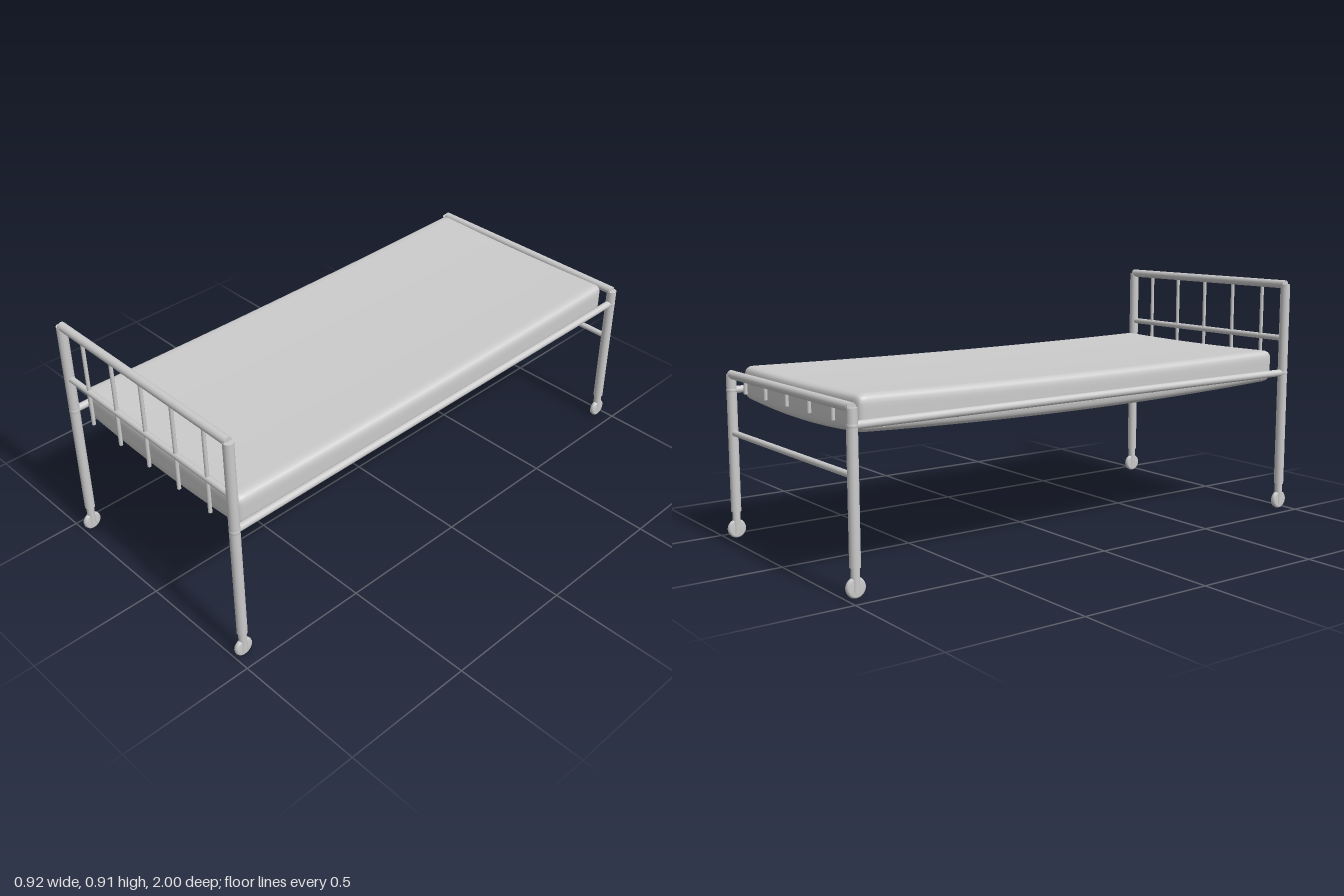
import * as THREE from 'three';
import { mergeVertices } from 'three/addons/utils/BufferGeometryUtils.js';

const material = new THREE.MeshStandardMaterial({ color: 0xcccccc });
const X = 0.44, Z = 0.965, RAIL_Y = 0.548;

function add(parent, name, geometry, x = 0, y = 0, z = 0) {
  const mesh = new THREE.Mesh(geometry, material);
  mesh.name = name;
  mesh.position.set(x, y, z);
  parent.add(mesh);
  return mesh;
}

// Round tube running along one axis, centred at the given point
function tube(parent, name, axis, radius, length, x, y, z, sides = 24) {
  const g = new THREE.CylinderGeometry(radius, radius, length, sides);
  if (axis === 'x') g.rotateZ(Math.PI / 2);
  if (axis === 'z') g.rotateX(Math.PI / 2);
  return add(parent, name, g, x, y, z);
}

// Leg post with side rail joint and caster
function leg(parent, x, z, top) {
  const g = new THREE.Group();
  g.name = 'leg';
  g.position.set(x, 0, z);
  parent.add(g);
  tube(g, 'post', 'y', 0.0185, top - 0.1, 0, (top + 0.1) / 2, 0);
  add(g, 'joint', new THREE.SphereGeometry(0.0195, 20, 14), 0, RAIL_Y, 0);
  tube(g, 'casterStem', 'y', 0.0145, 0.09, 0, 0.065, 0);
  const profile = [[0, -0.01], [0.028, -0.01], [0.033, -0.007], [0.035, 0], [0.033, 0.007], [0.028, 0.01], [0, 0.01]];
  const wheel = new THREE.LatheGeometry(profile.map(p => new THREE.Vector2(...p)), 28);
  wheel.rotateZ(Math.PI / 2);
  add(g, 'casterWheel', wheel, 0, 0.035, 0);
}

// End frame: two legs, top rail and five spindles
function endFrame(name, z, top) {
  const g = new THREE.Group();
  g.name = name;
  for (const s of [-1, 1]) leg(g, s * X, z, top);
  tube(g, 'topRail', 'x', 0.016, 2 * X, 0, top, z);
  for (let i = -2; i <= 2; i++) {
    tube(g, 'spindle', 'y', 0.007, top - RAIL_Y, i * 0.16, (top + RAIL_Y) / 2, z, 14);
  }
  return g;
}

// Rounded box that sags towards the middle, more below than above
function mattressGeometry() {
  const half = [0.42, 0.06, 0.93], r = 0.028;
  let g = new THREE.BoxGeometry(2, 2, 2, 28, 12, 44);
  g.deleteAttribute('normal');
  g.deleteAttribute('uv');
  g = mergeVertices(g);
  const pos = g.attributes.position;
  const v = new THREE.Vector3(), inner = new THREE.Vector3();
  const limit = new THREE.Vector3(...half).subScalar(r);
  for (let i = 0; i < pos.count; i++) {
    v.fromBufferAttribute(pos, i);
    // crowd the grid towards the edges so they round smoothly
    v.set(...v.toArray().map((t, k) => Math.sin(t * Math.PI / 2) * half[k]));
    inner.copy(v).clamp(limit.clone().negate(), limit);
    v.sub(inner).setLength(r).add(inner);
    const across = 1 - (v.x / half[0]) ** 2, along = 1 - (v.z / half[2]) ** 2;
    const low = (half[1] - v.y) / (2 * half[1]);
    v.y -= across * (0.006 + 0.014 * low) + along * (0.009 + 0.012 * low);
    pos.setXYZ(i, v.x, v.y, v.z);
  }
  g.computeVertexNormals();
  return g;
}

export function createModel() {
  const bed = new THREE.Group();
  bed.name = 'bed';

  const head = endFrame('headboard', Z, 0.895);
  tube(head, 'middleRail', 'x', 0.0115, 2 * X, 0, 0.684, Z);
  bed.add(head);

  const foot = endFrame('footboard', -Z, 0.604);
  tube(foot, 'lowerRail', 'x', 0.011, 2 * X, 0, 0.391, -Z);
  bed.add(foot);

  // Side rails with the small hooks that carry the base
  for (const s of [-1, 1]) {
    tube(bed, 'sideRail', 'z', 0.0135, 2 * Z, s * X, RAIL_Y, 0);
    for (let i = -3; i <= 3; i++) {
      tube(bed, 'hook', 'x', 0.005, 0.04, s * 0.416, 0.535, i * 0.283, 10);
    }
  }

  add(bed, 'mattress', mattressGeometry(), 0, 0.577, 0);
  return bed;
}
